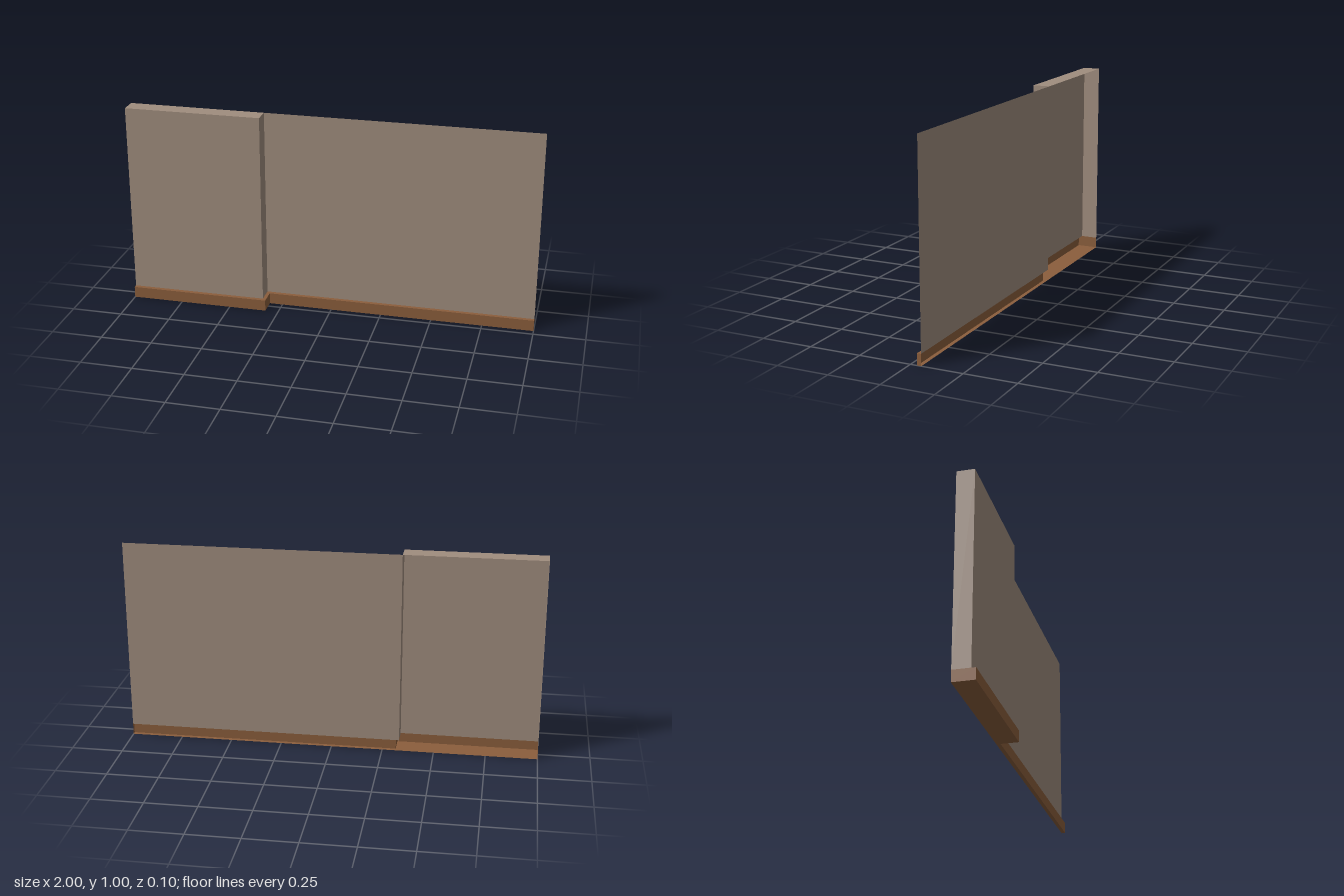
import * as THREE from 'three';
import { mergeGeometries } from 'three/addons/utils/BufferGeometryUtils.js';

const TOP = 0.996, BASE = 0.055, BACK = -0.052;

// Plan outlines as [x, z], running from the -x end to the +x end
const wallPath = [[-1, BACK], [-1, 0.032], [-0.332, 0.032], [-0.332, BACK], [1, BACK]];
const basePath = [[-1, BACK], [-1, 0.052], [-0.315, 0.052], [-0.315, -0.033], [1, -0.033], [1, BACK]];

// Upright panels standing along a plan outline, facing outward
function uprights(path, y0, y1) {
  const panels = [];
  for (let i = 0; i < path.length - 1; i++) {
    const [ax, az] = path[i], [bx, bz] = path[i + 1];
    const dx = bx - ax, dz = bz - az;
    panels.push(new THREE.PlaneGeometry(Math.hypot(dx, dz), y1 - y0)
      .rotateY(Math.atan2(-dz, dx))
      .translate((ax + bx) / 2, (y0 + y1) / 2, (az + bz) / 2));
  }
  return mergeGeometries(panels);
}

// Level panel filling a plan outline, facing up (1) or down (-1)
function level(points, y, facing) {
  const shape = new THREE.Shape(points.map(([x, z]) => new THREE.Vector2(x, -facing * z)));
  return new THREE.ShapeGeometry(shape).rotateX(-facing * Math.PI / 2).translate(0, y, 0);
}

export function createModel() {
  const model = new THREE.Group();
  model.name = 'steppedWall';

  const plaster = new THREE.MeshStandardMaterial({ color: 0xa08d7e, side: THREE.DoubleSide });
  plaster.name = 'taupe plaster';
  const wood = new THREE.MeshStandardMaterial({ color: 0x8b5e3c, side: THREE.DoubleSide });
  wood.name = 'brown wood';

  const add = (name, geometry, material) => {
    const mesh = new THREE.Mesh(geometry, material);
    mesh.name = name;
    model.add(mesh);
  };

  // Open-backed wall with a projecting section and its cap
  add('wallPanels', uprights(wallPath, BASE, TOP), plaster);
  add('projectionCap', level(wallPath.slice(0, 4), TOP, 1), plaster);

  // Hollow skirting board: face, ledge and underside
  add('skirtingFace', uprights(basePath, 0, BASE), wood);
  const ledge = [...basePath.slice(1), ...wallPath.slice(1, 4).reverse()];
  add('skirtingLedge', level(ledge, BASE, 1), wood);
  add('skirtingUnderside', level(basePath, 0, -1), wood);

  return model;
}
